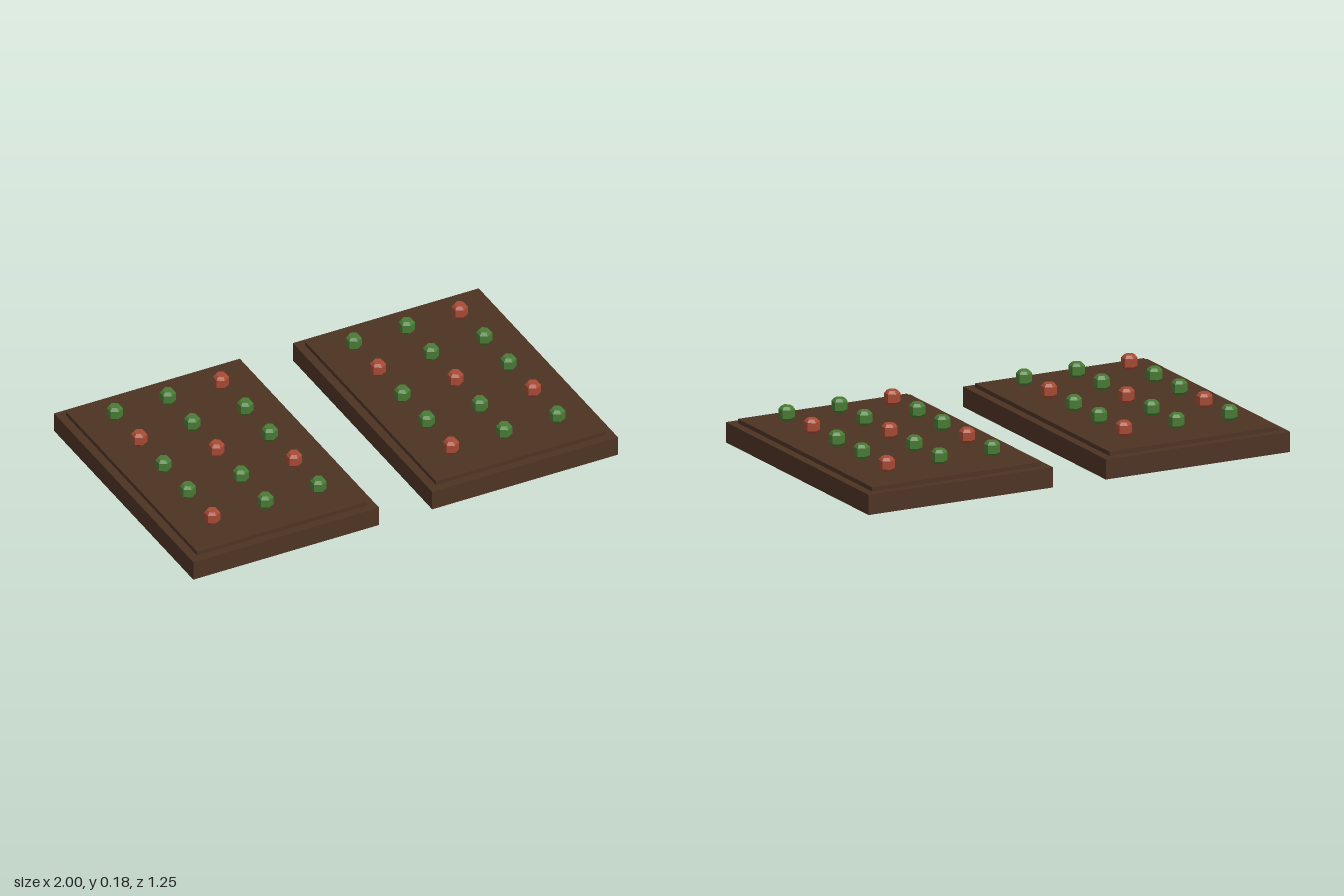
import * as THREE from 'three';

const mat = (name, color) => {
  const m = new THREE.MeshStandardMaterial({ color });
  m.name = name;
  return m;
};

function slab(name, w, d, y0, y1, material) {
  const mesh = new THREE.Mesh(new THREE.BoxGeometry(w, y1 - y0, d), material);
  mesh.name = name;
  mesh.position.y = (y0 + y1) / 2;
  return mesh;
}

// Six-sided pod with chamfered top and bottom
function podGeometry() {
  const profile = [[0, -0.031], [0.023, -0.031], [0.034, -0.018], [0.034, 0.018], [0.023, 0.031], [0, 0.031]];
  const geo = new THREE.LatheGeometry(profile.map(([r, y]) => new THREE.Vector2(r, y)), 6).toNonIndexed();
  geo.computeVertexNormals();
  return geo;
}

export function createModel() {
  const model = new THREE.Group();
  model.name = 'gardenBeds';
  const brown = mat('soilBrown', 0x4d3323);
  const green = mat('leafGreen', 0x4a7c35);
  const red = mat('ripeRed', 0xa84b34);
  const podGeo = podGeometry();

  // Planting pattern, rows from back to front (R = ripe, G = green)
  const layouts = {
    rightBed: ['GGR', 'RGG', 'GRG', 'GGR', 'RGG'],
    leftBed: ['GGR', 'RGG', 'GRG', 'GGR', 'RGG'],
  };

  for (const [name, rows] of Object.entries(layouts)) {
    const bed = new THREE.Group();
    bed.name = name;
    bed.position.x = name === 'leftBed' ? 0.5625 : -0.5625;
    bed.add(slab('bedBase', 0.875, 1.25, 0, 0.0875, brown));
    bed.add(slab('soilTop', 0.8, 1.175, 0.0875, 0.106, brown));

    // Crop pods hovering just above the soil
    rows.forEach((row, j) => [...row].forEach((kind, i) => {
      const pod = new THREE.Mesh(podGeo, kind === 'R' ? red : green);
      pod.name = kind === 'R' ? 'ripePod' : 'greenPod';
      pod.position.set((i - 1) * 0.25, 0.15, (j - 2) * 0.2185);
      bed.add(pod);
    }));
    model.add(bed);
  }
  return model;
}
